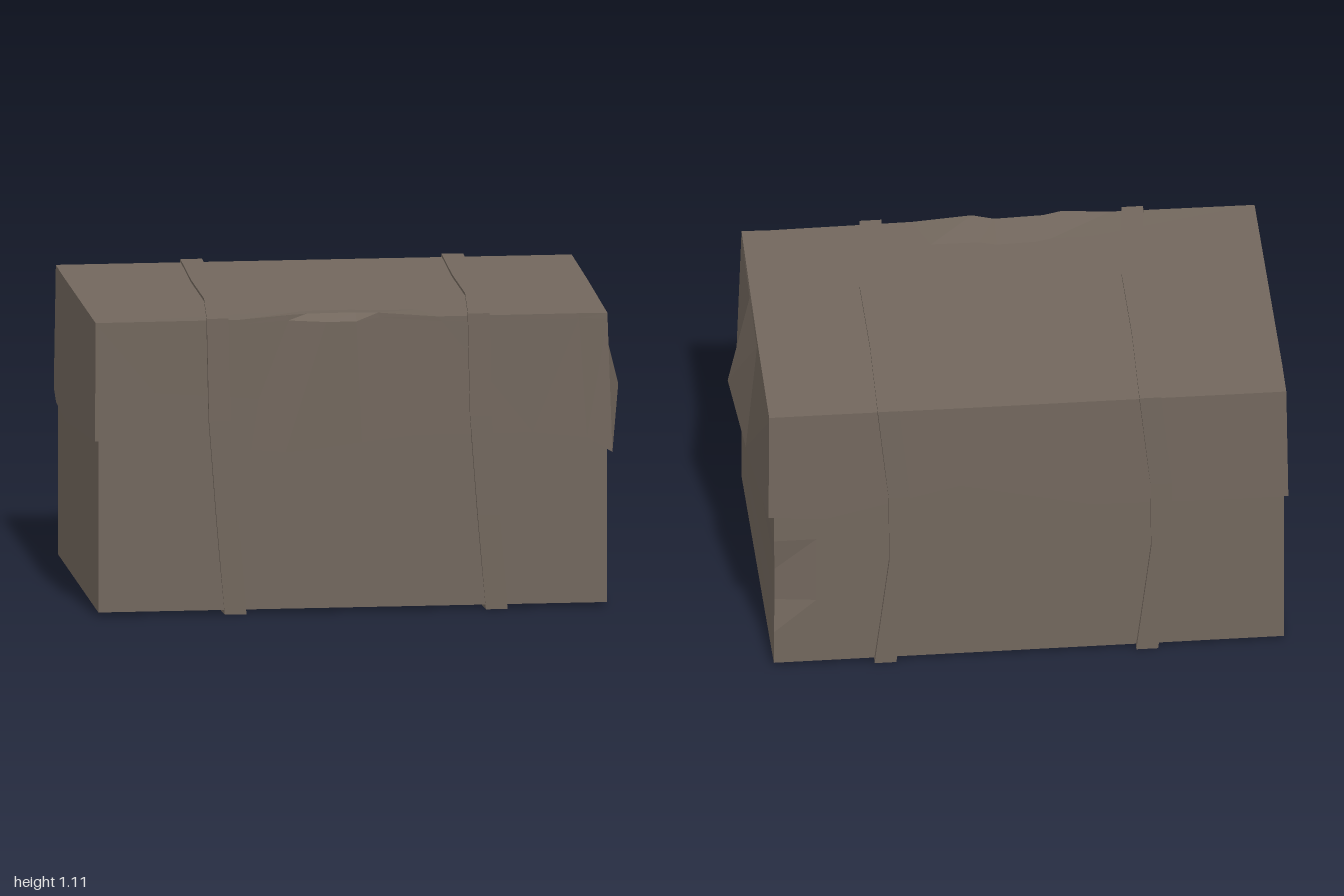
import * as THREE from 'three';

const paper = new THREE.MeshStandardMaterial({ color: 0x72675d, side: THREE.DoubleSide, flatShading: true });
paper.name = 'brown paper';

// Flat-shaded skin over rows of points, each row closed into a loop.
function skin(rows, name) {
  const pos = [];
  const tri = (...pts) => {
    const v = pts.map((p) => new THREE.Vector3(...p));
    if (new THREE.Triangle(...v).getArea() > 1e-8) pos.push(...pts.flat());
  };
  for (let i = 0; i < rows.length - 1; i++) {
    const a = rows[i], b = rows[i + 1], n = a.length;
    for (let j = 0; j < n; j++) {
      const k = (j + 1) % n;
      tri(b[j], b[k], a[k]);
      tri(b[j], a[k], a[j]);
    }
  }
  const geo = new THREE.BufferGeometry();
  geo.setAttribute('position', new THREE.Float32BufferAttribute(pos, 3));
  geo.computeVertexNormals();
  const mesh = new THREE.Mesh(geo, paper);
  mesh.name = name;
  return mesh;
}

// Lower box, with one crushed spot on the back right edge.
function makeBody() {
  const g = new THREE.BoxGeometry(1.875, 1.065, 1.237, 12, 8, 1);
  g.translate(-0.0325, 0.5475, -0.0035);
  const p = g.attributes.position;
  for (let i = 0; i < p.count; i++) {
    if (p.getX(i) > 0.89 && p.getZ(i) < -0.6 && Math.abs(p.getY(i) - 0.38) < 0.1) {
      p.setZ(i, -0.602);
      p.setX(i, 0.9);
    }
  }
  const geo = g.toNonIndexed();
  geo.computeVertexNormals();
  const mesh = new THREE.Mesh(geo, paper);
  mesh.name = 'body';
  return mesh;
}

// Wrapping over the top with an uneven hem: [top edge, hem] around the box.
function makeCover() {
  const columns = [
    // front
    [[-0.98, 1.09, 0.615], [-0.982, 0.65, 0.613]],
    [[-0.45, 1.092, 0.618], [-0.45, 0.61, 0.613]],
    [[-0.27, 1.106, 0.618], [-0.28, 0.597, 0.621]],
    [[-0.2, 1.106, 0.597], [-0.15, 0.61, 0.622]],
    [[-0.02, 1.106, 0.59], [0, 0.63, 0.623]],
    [[0.06, 1.108, 0.618], [0.2, 0.653, 0.625]],
    [[0.28, 1.09, 0.622], [0.63, 0.653, 0.618]],
    [[0.8, 1.09, 0.616], [0.83, 0.63, 0.618]],
    // right
    [[0.905, 1.09, 0.62], [0.922, 0.575, 0.632]],
    [[0.912, 1.09, 0.2], [1.0, 0.745, 0.16]],
    [[0.917, 1.09, -0.12], [0.963, 0.655, -0.15]],
    // back
    [[0.922, 1.09, -0.622], [0.925, 0.655, -0.628]],
    [[0.71, 1.09, -0.622], [0.71, 0.64, -0.628]],
    [[0.22, 1.09, -0.625], [0.22, 0.755, -0.63]],
    [[-0.26, 1.09, -0.625], [-0.26, 0.645, -0.632]],
    [[-0.76, 1.09, -0.627], [-0.76, 0.635, -0.632]],
    // left
    [[-0.978, 1.09, -0.627], [-0.985, 0.635, -0.632]],
    [[-0.98, 1.09, -0.45], [-0.998, 0.61, -0.45]],
    [[-0.98, 1.09, -0.13], [-1.0, 0.597, -0.13]],
    [[-0.98, 1.09, 0.18], [-1.0, 0.625, 0.18]],
  ];
  const top = columns.map((c) => c[0]);
  const hem = columns.map((c) => c[1]);
  // The shoulder ring forms the dent under the crumpled front edge.
  const shoulder = columns.map(([t, h]) => {
    const dent = t[2] > 0.5 && t[2] < 0.6;
    const f = 0.04;
    return dent ? [t[0] + (t[0] < -0.1 ? 0.07 : 0), 1.078, 0.624]
      : t.map((v, i) => v + (h[i] - v) * f);
  });
  const inner = top.map(([x, , z]) => [x * 0.8, 1.09, z * 0.75]);
  const centre = top.map(() => [0, 1.09, 0]);
  return skin([centre, inner, top, shoulder, hem], 'wrappingCover');
}

// Flat band looping the parcel: path of [z, y, sideways drift].
function makeStrap(x, name) {
  const path = [
    [0.632, 0, 0], [0.634, 0.35, -0.03], [0.634, 0.72, -0.058], [0.632, 1.1, -0.066],
    [0.2, 1.1, -0.025], [-0.2, 1.1, -0.025], [-0.637, 1.1, -0.012],
    [-0.638, 0.72, -0.052], [-0.638, 0.45, -0.055], [-0.637, 0, 0],
    [-0.2, 0, -0.018], [0.2, 0, -0.015],
  ];
  const clamp = THREE.MathUtils.clamp;
  const outer = (s) => path.map(([z, y, d]) => [x + d + s * 0.04, y, z]);
  const sunk = (s) => outer(s).map(([px, y, z]) => [px, clamp(y, 0.03, 1.06), clamp(z, -0.6, 0.6)]);
  return skin([sunk(-1), outer(-1), outer(1), sunk(1)], name);
}

export function createModel() {
  const parcel = new THREE.Group();
  parcel.name = 'parcel';
  parcel.add(makeBody(), makeCover());
  parcel.add(makeStrap(-0.466, 'rightStrap'), makeStrap(0.496, 'leftStrap'));
  return parcel;
}
